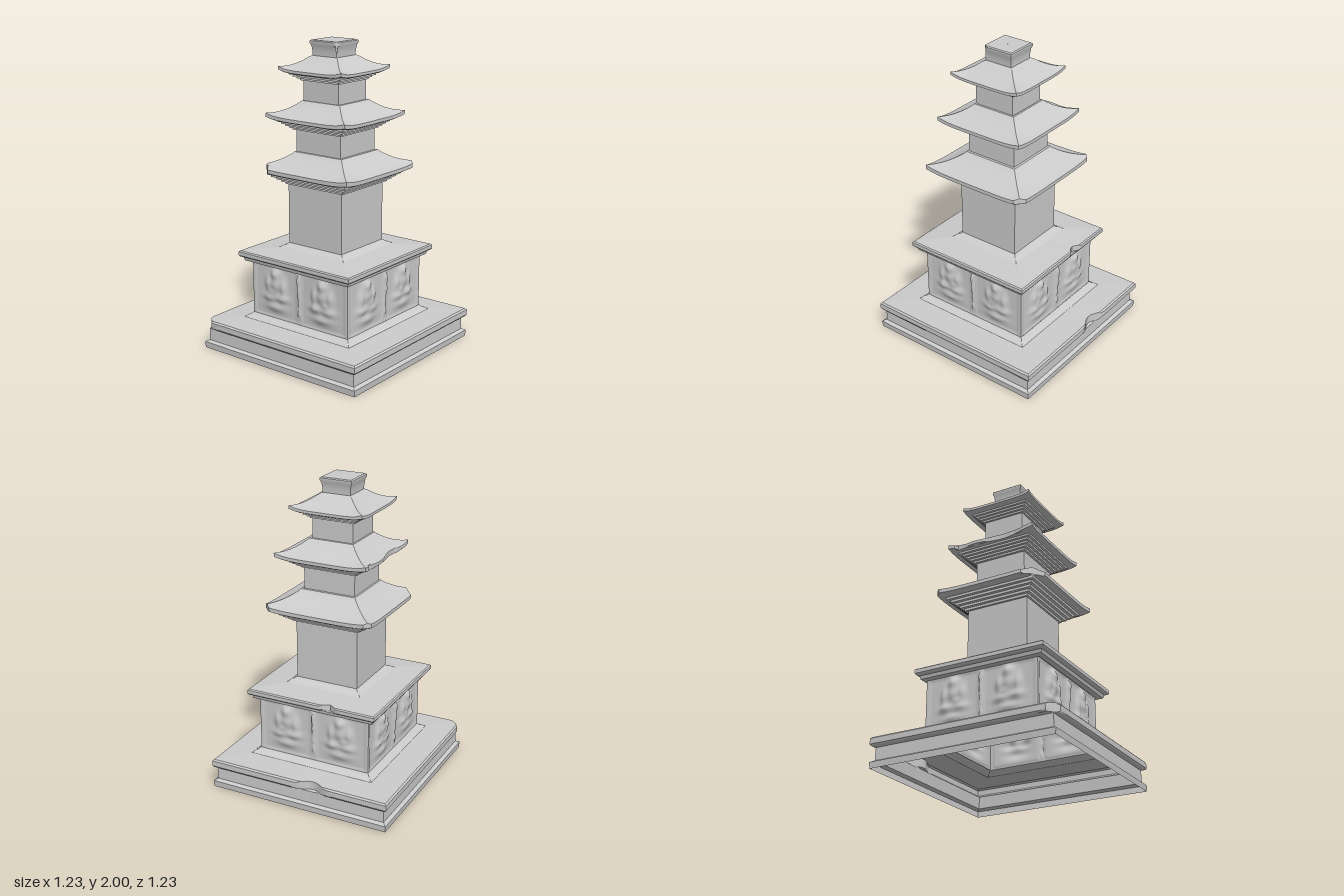
import * as THREE from 'three';
import { toCreasedNormals } from 'three/addons/utils/BufferGeometryUtils.js';

const stone = new THREE.MeshStandardMaterial({ color: 0xcccccc, side: THREE.DoubleSide });
const SEG = 40;

function finish(name, positions) {
  const geo = new THREE.BufferGeometry();
  geo.setAttribute('position', new THREE.Float32BufferAttribute(positions, 3));
  const mesh = new THREE.Mesh(toCreasedNormals(geo, 0.5), stone);
  mesh.name = name;
  return mesh;
}

// Square shell swept up a profile of [halfWidth, y, cornerLift]; wear(p) chips the stone
function squareShell(name, profile, cx = 0, cz = 0, wear = () => {}) {
  const out = [];
  const point = (side, u, [h, y, lift = 0]) => {
    const p = new THREE.Vector3(u * h, y + lift * Math.abs(u) ** 5, h);
    for (let k = 0; k < side; k++) p.set(p.z, p.y, -p.x);
    p.x += cx;
    p.z += cz;
    wear(p);
    return p.toArray();
  };
  for (let side = 0; side < 4; side++)
    for (let i = 0; i < profile.length - 1; i++)
      for (let j = 0; j < SEG; j++) {
        const u0 = (j / SEG) * 2 - 1, u1 = ((j + 1) / SEG) * 2 - 1;
        const a = point(side, u0, profile[i]), b = point(side, u1, profile[i]);
        const c = point(side, u1, profile[i + 1]), d = point(side, u0, profile[i + 1]);
        out.push(...a, ...b, ...c, ...a, ...c, ...d);
      }
  return finish(name, out);
}

// Cuts off a corner lying in the direction (sx, sz)
function chipCorner(p, sx, sz, limit) {
  const over = sx * p.x + sz * p.z - limit;
  if (over > 0) {
    p.x -= (sx * over) / 2;
    p.z -= (sz * over) / 2;
  }
}

// Wears a shallow notch into the rear edge
function notchBack(p, edge, x, width, depth) {
  const d = (p.x - x) / width;
  if (Math.abs(d) < 1) p.z = Math.max(p.z, edge + depth * Math.cos((d * Math.PI) / 2) ** 2);
}

// Stepped cornice below a concave roof with upturned corners
function roofProfile({ cornice, steps, eave, eaveY, thick, top, topY, lift }) {
  const [h0, y0, h1, y1] = cornice;
  const pts = [];
  for (let i = 0; i < steps; i++) {
    const h = h0 + ((h1 - h0) * i) / (steps - 1);
    pts.push([h, y0 + ((y1 - y0) * i) / steps], [h, y0 + ((y1 - y0) * (i + 1)) / steps]);
  }
  pts.push([eave - 0.012, eaveY, lift * 0.7], [eave, eaveY + 0.006, lift * 0.8], [eave, eaveY + thick, lift]);
  for (let i = 1; i <= 8; i++) {
    const t = i / 8;
    pts.push([eave + (top - eave) * t, eaveY + thick + (topY - eaveY - thick) * (0.45 * t + 0.55 * t * t), lift * (1 - t) ** 2]);
  }
  return pts;
}

// Seated relief figure: [x, y, radiusX, radiusY, height]
const FIGURE = [
  [0, 0.125, 0.035, 0.035, 0.026], [0, 0.05, 0.05, 0.05, 0.024],
  [-0.065, 0.04, 0.022, 0.06, 0.016], [0.065, 0.05, 0.022, 0.05, 0.016],
  [-0.05, -0.035, 0.05, 0.028, 0.02], [0.05, -0.04, 0.05, 0.028, 0.02],
  [0, -0.1, 0.08, 0.03, 0.018], [0.03, 0, 0.03, 0.02, 0.01],
];

// One wall of the lower storey: two carved panels between slim pilasters
function carvedWall(half, y0, y1, index) {
  const geo = new THREE.PlaneGeometry(half * 2, y1 - y0, 76, 40);
  const pos = geo.attributes.position;
  for (let i = 0; i < pos.count; i++) {
    const x = pos.getX(i), y = pos.getY(i), s = Math.sign(x);
    const panelX = x - s * 0.19;
    let d = Math.abs(panelX) < 0.165 && Math.abs(y) < 0.165 ? -0.004 : 0;
    const mirror = (index % 2 ? -1 : 1) * s;
    for (const [fx, fy, rx, ry, h] of FIGURE)
      d += h * Math.exp(-(((panelX * mirror - fx) / rx) ** 2) - ((y - fy) / ry) ** 2);
    const fade = Math.min(1, (half - Math.abs(x)) / 0.03, ((y1 - y0) / 2 - Math.abs(y)) / 0.02);
    pos.setZ(i, d * fade);
  }
  geo.computeVertexNormals();
  geo.translate(0, (y0 + y1) / 2, half);
  geo.rotateY((index * Math.PI) / 2);
  const wall = new THREE.Mesh(geo, stone);
  wall.name = 'carvedWall' + (index + 1);
  return wall;
}

export function createModel() {
  const pagoda = new THREE.Group();
  pagoda.name = 'stonePagoda';

  // Hollow base, open underneath
  pagoda.add(squareShell('base', [
    [0.612, 0], [0.615, 0.04], [0.592, 0.052], [0.59, 0.132], [0.61, 0.14],
    [0.617, 0.15], [0.617, 0.185], [0.607, 0.195], [0.43, 0.203], [0.415, 0.215],
    [0.405, 0.218], [0.387, 0.235],
  ], 0, -0.002, (p) => {
    if (p.y > 0.136) {
      chipCorner(p, -1, 1, 1.165);
      notchBack(p, -0.62, -0.1, 0.12, 0.045);
    }
  }));

  // Lower storey
  const storey = new THREE.Group();
  storey.name = 'lowerStorey';
  for (let i = 0; i < 4; i++) storey.add(carvedWall(0.385, 0.23, 0.59, i));
  pagoda.add(storey);

  // Slab over the lower storey
  pagoda.add(squareShell('slab', [
    [0.385, 0.585], [0.418, 0.59], [0.424, 0.612], [0.44, 0.618], [0.446, 0.626],
    [0.446, 0.65], [0.438, 0.657], [0.26, 0.672], [0.245, 0.684], [0.232, 0.687], [0.213, 0.702],
  ], 0, 0.008, (p) => {
    if (p.y > 0.615) notchBack(p, -0.44, -0.13, 0.07, 0.035);
  }));

  // Three shafts
  pagoda.add(squareShell('firstShaft', [[0.213, 0.695], [0.213, 1.095]], -0.002, 0.01));
  pagoda.add(squareShell('secondShaft', [[0.175, 1.29], [0.175, 1.445]], -0.003, 0.01));
  pagoda.add(squareShell('thirdShaft', [[0.139, 1.615], [0.139, 1.755]], -0.006, 0.014));

  // Three roofs
  const firstRoof = roofProfile({
    cornice: [0.23, 1.09, 0.315, 1.17], steps: 5, eave: 0.37, eaveY: 1.17, thick: 0.03, top: 0.2, topY: 1.285, lift: 0.02,
  });
  pagoda.add(squareShell('firstRoof', [[0.213, 1.09], ...firstRoof, [0.188, 1.298], [0.175, 1.3]], 0, 0.006, (p) => {
    chipCorner(p, -1, 1, 0.63);
    chipCorner(p, -1, -1, 0.7);
    chipCorner(p, 1, -1, 0.68);
  }));

  const secondRoof = roofProfile({
    cornice: [0.192, 1.44, 0.262, 1.505], steps: 5, eave: 0.311, eaveY: 1.502, thick: 0.027, top: 0.162, topY: 1.61, lift: 0.02,
  });
  pagoda.add(squareShell('secondRoof', [[0.175, 1.44], ...secondRoof, [0.15, 1.622], [0.139, 1.623]], -0.004, 0.008, (p) => {
    const edge = -0.302 + 0.012 * Math.sin(p.z * 17);
    if (Math.abs(p.z) < 0.25) p.x = Math.max(p.x, edge);
  }));

  const thirdRoof = roofProfile({
    cornice: [0.152, 1.75, 0.2, 1.8], steps: 4, eave: 0.247, eaveY: 1.797, thick: 0.023, top: 0.115, topY: 1.893, lift: 0.02,
  });
  pagoda.add(squareShell('thirdRoof', [[0.139, 1.75], ...thirdRoof, [0.1, 1.902], [0.094, 1.903]], -0.009, 0.015));

  // Crowning block, flared to a closed flat top
  pagoda.add(squareShell('finialBlock', [
    [0.094, 1.9], [0.095, 1.93], [0.1, 1.965], [0.107, 1.98], [0.107, 1.994], [0.1, 2], [0.001, 2],
  ], -0.008, 0.018, (p) => chipCorner(p, 1, 1, 0.2)));

  return pagoda;
}
